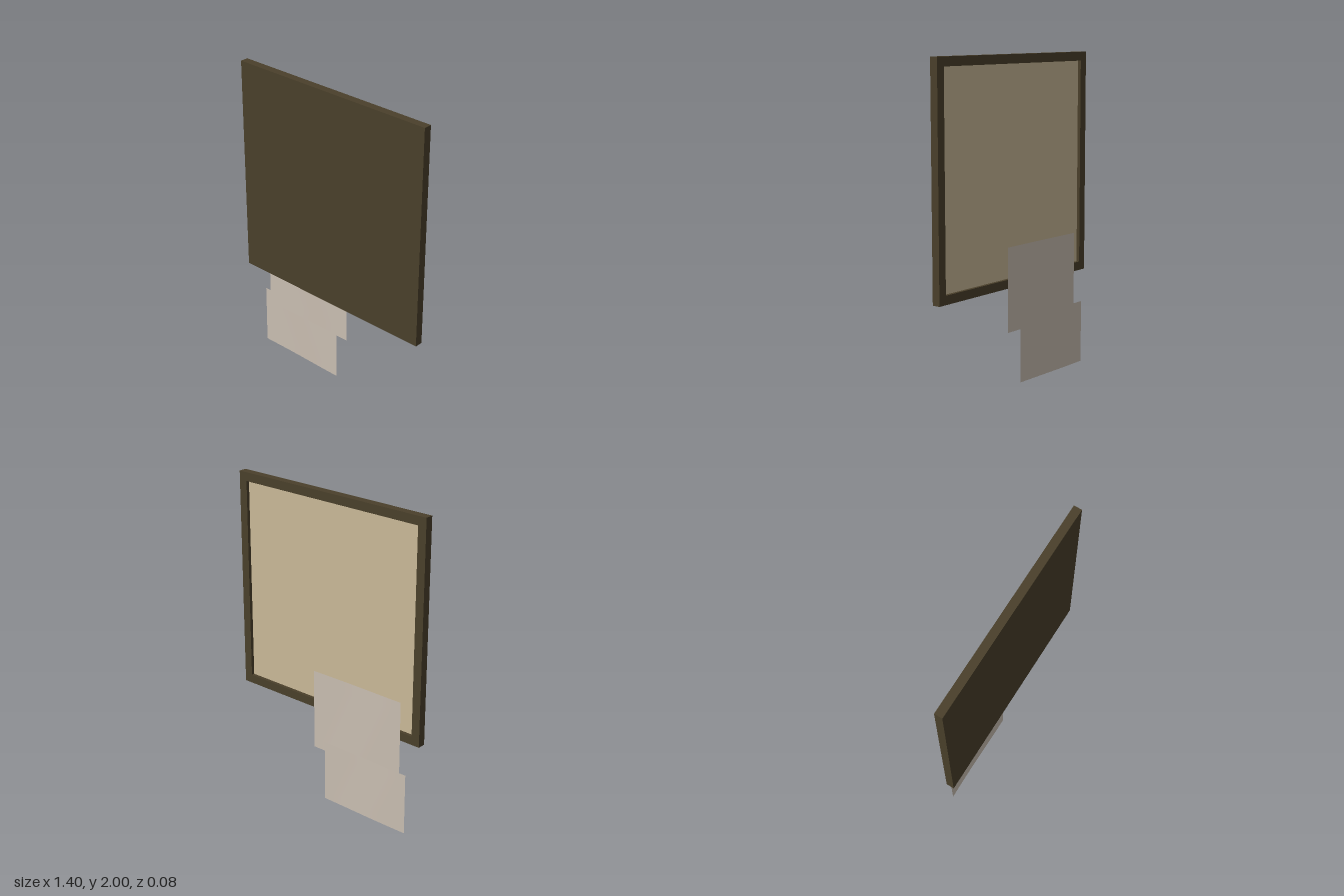
import * as THREE from 'three';

const material = (name, color, side = THREE.FrontSide) => {
  const m = new THREE.MeshStandardMaterial({ color, side });
  m.name = name;
  return m;
};

export function createModel() {
  const group = new THREE.Group();
  const darkWood = material('dark wood', 0x4a402b);
  const tan = material('tan backing', 0xcbba98);
  const paper = material('paper', 0xcabfb2, THREE.DoubleSide);

  const add = (name, geometry, mat, x, y, z) => {
    const mesh = new THREE.Mesh(geometry, mat);
    mesh.name = name;
    mesh.position.set(x, y, z);
    group.add(mesh);
    return mesh;
  };

  const size = 1.4, half = size / 2, border = 0.055, inner = half - border;
  const back = -0.013, recess = 0.012, front = 0.038, midY = 1.3;

  // Solid front board
  add('frontBoard', new THREE.BoxGeometry(size, size, front - recess), darkWood, 0, midY, (front + recess) / 2);

  // Raised rim around the recessed back
  const rim = new THREE.Shape([[-half, -half], [half, -half], [half, half], [-half, half]]
    .map(([x, y]) => new THREE.Vector2(x, y)));
  rim.holes.push(new THREE.Path([[-inner, -inner], [-inner, inner], [inner, inner], [inner, -inner]]
    .map(([x, y]) => new THREE.Vector2(x, y))));
  add('backRim', new THREE.ExtrudeGeometry(rim, { depth: recess - back, bevelEnabled: false }), darkWood, 0, midY, back);

  // Tan panel set into the recess
  add('backPanel', new THREE.BoxGeometry(inner * 2, inner * 2, 0.004), tan, 0, midY, recess - 0.002);

  // Loose paper sheets with a very slight ripple
  const sheet = (name, x0, x1, y0, y1, z) => {
    const geometry = new THREE.PlaneGeometry(x1 - x0, y1 - y0, 12, 8);
    const p = geometry.attributes.position;
    for (let i = 0; i < p.count; i++) {
      p.setZ(i, 0.0015 * Math.sin(p.getX(i) * 9 + p.getY(i) * 4));
    }
    geometry.computeVertexNormals();
    add(name, geometry, paper, (x0 + x1) / 2, (y0 + y1) / 2, z);
  };
  sheet('upperSheet', -0.57, 0.1, 0.33, 0.855, -0.025);
  sheet('lowerSheet', -0.63, 0, 0, 0.4, -0.041);

  return group;
}
